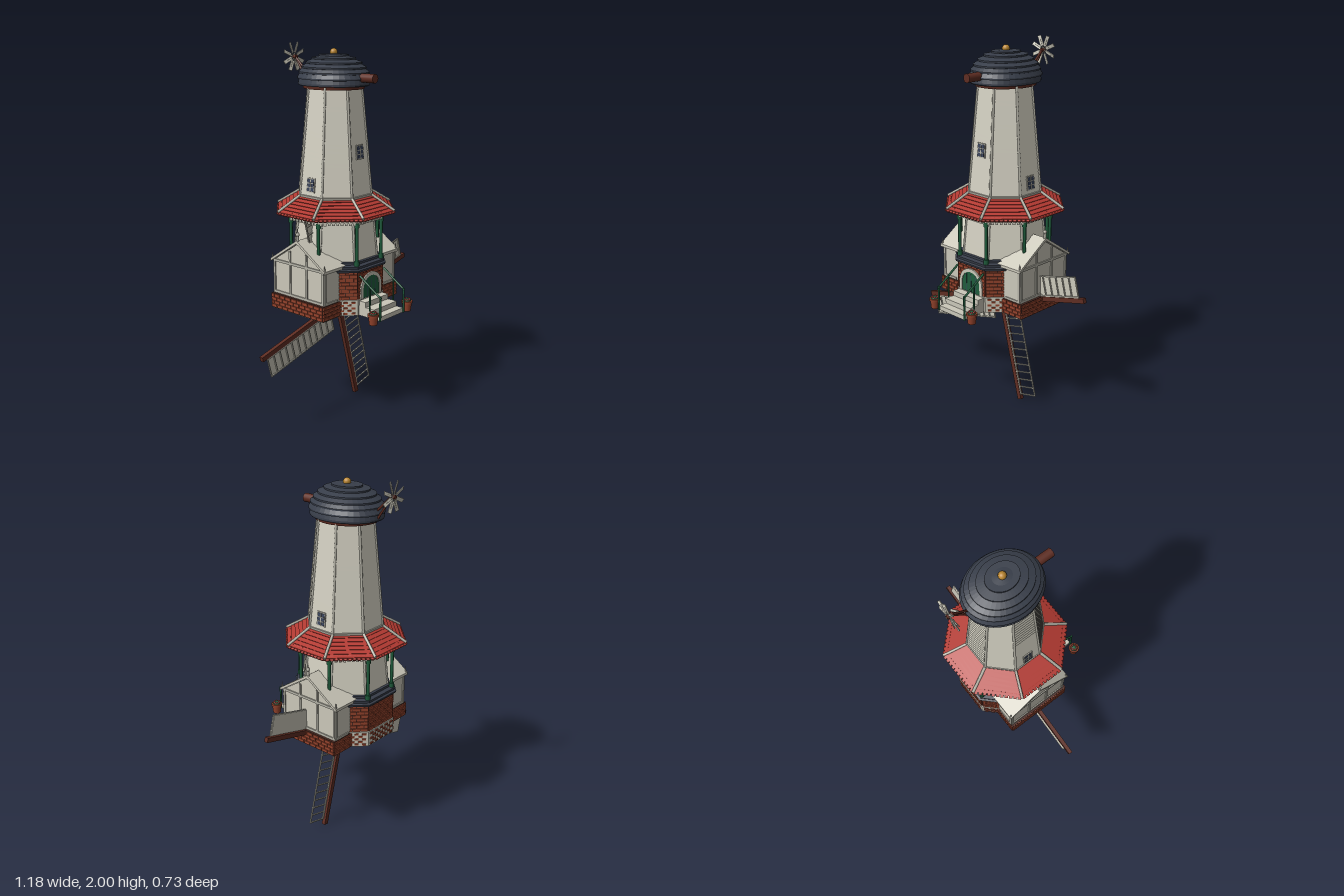
import * as THREE from 'three';
import { mergeGeometries } from 'three/addons/utils/BufferGeometryUtils.js';

const mat = (name, color) => Object.assign(new THREE.MeshStandardMaterial({ color }), { name });
const V = (x, y, z) => new THREE.Vector3(x, y, z);
const C8 = Math.cos(Math.PI / 8), T8 = Math.tan(Math.PI / 8);

export function createModel() {
  const M = {
    pale: mat('pale boards', 0xcbc8ba), trim: mat('grey trim', 0xb4b2a6), brick: mat('brick', 0x94432c),
    mortar: mat('dark mortar', 0x4a2a22), wood: mat('brown timber', 0x5f2d22), red: mat('red shingles', 0xb33a32),
    slate: mat('slate', 0x383e4a), green: mat('green paint', 0x1f5c3c), gold: mat('gold', 0xba862f),
    glass: mat('dark glass', 0x39435a),
  };
  const root = new THREE.Group();
  const mill = new THREE.Group();
  mill.name = 'mill';
  mill.position.z = -0.055;
  root.add(mill);

  // ---- helpers ----
  const add = (parent, name, geo, m) => {
    const mesh = new THREE.Mesh(geo, m);
    mesh.name = name;
    parent.add(mesh);
    return mesh;
  };
  const group = (parent, name) => {
    const g = new THREE.Group();
    g.name = name;
    parent.add(g);
    return g;
  };
  const box = (w, h, d, x = 0, y = 0, z = 0) => new THREE.BoxGeometry(w, h, d).translate(x, y, z);
  const flat = (geo) => {
    const g = geo.index ? geo.toNonIndexed() : geo;
    g.computeVertexNormals();
    return g;
  };
  // octagonal solid given by a profile of [apothem, y], flat side to the front
  const octagon = (pts) => flat(new THREE.LatheGeometry(
    pts.map(([r, y]) => new THREE.Vector2(r / C8, y)), 8).rotateY(Math.PI / 8));
  // octagon corner i at apothem r
  const corner = (i, r, y) => {
    const a = Math.PI / 8 + i * Math.PI / 4;
    return V(Math.sin(a) * r / C8, y, Math.cos(a) * r / C8);
  };
  const rod = (a, b, r, sides = 6) => {
    const d = b.clone().sub(a), g = new THREE.CylinderGeometry(r, r, d.length(), sides);
    g.applyQuaternion(new THREE.Quaternion().setFromUnitVectors(V(0, 1, 0), d.clone().normalize()));
    return g.translate(...a.clone().add(b).multiplyScalar(0.5).toArray());
  };
  const around = (make) => mergeGeometries([...Array(8).keys()].map((i) => make(i)));
  // courses of staggered brick plates in the xy plane
  const bricks = (w, y0, y1, rows, gap, skip = () => false) => {
    const list = [], h = (y1 - y0) / rows, n = Math.max(2, Math.round(w / 0.042)), bw = w / n;
    for (let r = 0; r < rows; r++) {
      for (let k = 0; k <= n; k++) {
        const a = Math.max(-w / 2, -w / 2 + (k - (r % 2) / 2) * bw);
        const b = Math.min(w / 2, -w / 2 + (k + 1 - (r % 2) / 2) * bw);
        const y = y0 + (r + 0.5) * h;
        if (b - a < gap * 2 || skip((a + b) / 2, y)) continue;
        list.push(box(b - a - gap, h - Math.min(gap, 0.006), 0.006, (a + b) / 2, y, 0.002));
      }
    }
    return mergeGeometries(list);
  };

  // ---- octagonal brick base ----
  add(mill, 'plinth', octagon([[0, 0.6], [0.255, 0.6], [0.255, 0.685], [0.24, 0.69]]), M.pale);
  add(mill, 'plinth checker bricks', around((i) =>
    bricks(0.205, 0.605, 0.68, 5, 0.02).translate(0, 0, 0.255).rotateY(i * Math.PI / 4)), M.brick);
  add(mill, 'base wall', octagon([[0.248, 0.68], [0.248, 0.85]]), M.mortar);
  add(mill, 'base wall bricks', around((i) =>
    bricks(0.203, 0.685, 0.845, 8, 0.004).translate(0, 0, 0.248).rotateY(i * Math.PI / 4)), M.brick);
  add(mill, 'slate ledge', octagon([[0.24, 0.838], [0.262, 0.838], [0.266, 0.85], [0.255, 0.855],
    [0.257, 0.868], [0.235, 0.873], [0.235, 0.885], [0.2, 0.89]]), M.slate);
  add(mill, 'underside', octagon([[0, 0.597], [0.19, 0.597], [0.19, 0.602]]), M.glass);

  // ---- weatherboarded tower ----
  const towerR = (y) => 0.22 - (y - 0.88) * 0.0922;
  const boards = [], courses = 38;
  for (let i = 0; i < courses; i++) {
    const y0 = 0.88 + i * 0.9 / courses, y1 = y0 + 0.9 / courses;
    boards.push([towerR(y0) + 0.003, y0], [towerR(y1), y1]);
  }
  add(mill, 'tower boards', octagon(boards), M.pale);
  add(mill, 'tower corner trim', around((i) =>
    rod(corner(i, towerR(0.88), 0.88), corner(i, towerR(1.78), 1.78), 0.007)), M.trim);
  [[0, 1.45], [2, 1.28], [6, 1.28]].forEach(([i, y]) => {
    const face = group(mill, 'window face');
    face.rotation.y = i * Math.PI / 4;
    const win = group(face, 'window');
    win.position.set(0, y, towerR(y) + 0.003);
    win.rotation.x = -0.092;
    add(win, 'window frame', box(0.056, 0.076, 0.008), M.trim);
    add(win, 'window glass', box(0.044, 0.064, 0.009, 0, 0, 0.001), M.glass);
    add(win, 'window bars', mergeGeometries([box(0.005, 0.064, 0.009, 0, 0, 0.003),
      box(0.044, 0.004, 0.009, 0, 0.011, 0.003), box(0.044, 0.004, 0.009, 0, -0.011, 0.003)]), M.trim);
  });

  // ---- gallery roof on green posts ----
  const roof = [[0.185, 1.19], [0.3, 1.122]];
  for (let i = 0; i < 6; i++) {
    const a = i / 6, b = (i + 1) / 6;
    roof.push([0.306 - 0.12 * a, 1.138 + 0.08 * a], [0.302 - 0.12 * b, 1.134 + 0.08 * b]);
  }
  add(mill, 'gallery roof', octagon(roof), M.red);
  add(mill, 'eave shingles', around((i) => mergeGeometries([...Array(11).keys()].map((k) =>
    box(0.017, 0.007, 0.03).rotateX(0.59).translate((k - 5) * 0.0225, 1.134, 0.3)))
    .rotateY(i * Math.PI / 4)), M.red);
  add(mill, 'roof hips', around((i) =>
    rod(corner(i, 0.308, 1.138), corner(i, 0.185, 1.22), 0.008)), M.trim);
  add(mill, 'roof collar', octagon([[0.192, 1.205], [0.195, 1.222], [0.18, 1.226]]), M.trim);
  add(mill, 'gallery beam', octagon([[0.236, 1.135], [0.236, 1.1], [0.25, 1.1], [0.25, 1.14]]), M.pale);
  add(mill, 'beam fringe', around((i) => mergeGeometries([...Array(9).keys()].map((k) =>
    box(0.014, 0.012, 0.006, (k - 4) * 0.022, 1.095, 0.247))).rotateY(i * Math.PI / 4)), M.pale);
  add(mill, 'gallery posts', around((i) => mergeGeometries([
    rod(corner(i, 0.24, 0.865), corner(i, 0.24, 1.12), 0.009, 8),
    rod(corner(i, 0.24, 0.865), corner(i, 0.24, 0.895), 0.014, 8),
    rod(corner(i, 0.24, 1.075), corner(i, 0.24, 1.1), 0.013, 8)])), M.green);

  // ---- gabled side wings ----
  const gable = (hw, y0, ye, yp) => new THREE.Shape([[-hw, y0], [hw, y0], [hw, ye], [0, yp], [-hw, ye]]
    .map(([x, y]) => new THREE.Vector2(x, y)));
  const extrudeX = (shape, x0, x1) => new THREE.ExtrudeGeometry(shape, { depth: x1 - x0, bevelEnabled: false })
    .rotateY(Math.PI / 2).translate(x0, 0, 0);
  [0, Math.PI].forEach((turn) => {
    const wing = group(mill, 'side wing');
    wing.rotation.y = turn;
    add(wing, 'wing walls', extrudeX(gable(0.183, 0.68, 0.865, 0.985), 0.14, 0.288), M.pale);
    const slope = new THREE.Shape([[-0.198, 0.857], [0, 0.988], [0.198, 0.857], [0.198, 0.872], [0, 1.004], [-0.198, 0.872]]
      .map(([x, y]) => new THREE.Vector2(x, y)));
    add(wing, 'wing roof', extrudeX(slope, 0.14, 0.302), M.pale);
    const battens = [box(0.008, 0.014, 0.366, 0.29, 0.865, 0), box(0.008, 0.014, 0.366, 0.29, 0.69, 0)];
    [-0.176, -0.06, 0.06, 0.176].forEach((z) => battens.push(box(0.008, 0.18, 0.012, 0.29, 0.775, z)));
    [-0.06, 0.06].forEach((z) => battens.push(box(0.008, 0.07, 0.012, 0.29, 0.9, z)));
    [-1, 1].forEach((s) => battens.push(box(0.014, 0.18, 0.008, 0.282, 0.775, s * 0.184),
      box(0.1, 0.012, 0.008, 0.24, 0.69, s * 0.184)));
    add(wing, 'wing battens', mergeGeometries(battens), M.trim);
    add(wing, 'gable finial', mergeGeometries([rod(V(0.292, 0.98, 0), V(0.292, 1.03, 0), 0.008),
      new THREE.SphereGeometry(0.011, 10, 8).translate(0.292, 1.035, 0),
      new THREE.ConeGeometry(0.006, 0.035, 8).translate(0.292, 1.055, 0)]), M.trim);
    add(wing, 'eave finials', mergeGeometries([-1, 1].map((s) =>
      new THREE.ConeGeometry(0.006, 0.04, 6).translate(0.292, 0.89, s * 0.19))), M.trim);
    add(wing, 'wing plinth', box(0.165, 0.082, 0.376, 0.2225, 0.641, 0), M.mortar);
    add(wing, 'wing plinth floor', box(0.16, 0.006, 0.37, 0.22, 0.599, 0), M.pale);
    add(wing, 'wing plinth bricks', mergeGeometries([
      bricks(0.376, 0.602, 0.68, 4, 0.004).rotateY(Math.PI / 2).translate(0.305, 0, 0),
      bricks(0.165, 0.602, 0.68, 4, 0.004).translate(0.2225, 0, 0.188),
      bricks(0.165, 0.602, 0.68, 4, 0.004).rotateY(Math.PI).translate(0.2225, 0, -0.188)]), M.brick);
  });

  // ---- domed cap ----
  const cap = group(mill, 'cap');
  cap.position.z = -0.008;
  const steps = [[0.168, 1.79], [0.172, 1.818], [0.165, 1.846], [0.152, 1.872], [0.132, 1.896], [0.104, 1.918], [0.07, 1.934]];
  const dome = [[0, 1.785], [0.165, 1.785]];
  steps.forEach(([r, y], i) => {
    const next = steps[i + 1] || [0.045, 1.943];
    dome.push([r, y], [r, y + 0.008], [Math.min(r, next[0]) - 0.004, next[1] - 0.001]);
  });
  dome.push([0, 1.948]);
  const domeGeo = new THREE.LatheGeometry(dome.map(([r, y]) => new THREE.Vector2(r, y)), 40).scale(1, 1, 1.2);
  add(cap, 'slate dome', flat(domeGeo), M.slate);
  add(cap, 'curb ring', new THREE.CylinderGeometry(0.155, 0.15, 0.024, 32).scale(1, 1, 1.12).translate(0, 1.781, 0), M.wood);
  add(cap, 'gold ball', new THREE.SphereGeometry(0.02, 18, 12).translate(0, 1.952, 0), M.gold);
  add(root, 'windshaft', rod(V(0, 1.83, 0.05), V(0, 1.83, 0.217), 0.023, 16), M.wood);

  // ---- fantail ----
  const fan = group(root, 'fantail');
  fan.position.set(0, 1.92, -0.352);
  add(fan, 'fan blades', around((i) => box(0.02, 0.058, 0.004).rotateY(0.4).translate(0, 0.05, 0)
    .rotateZ((i + 0.5) * Math.PI / 4)), M.pale);
  add(fan, 'fan spokes', around((i) => box(0.005, 0.06, 0.005, 0, 0.03, 0).rotateZ((i + 0.5) * Math.PI / 4)), M.trim);
  add(fan, 'fan hub', rod(V(0, 0, -0.012), V(0, 0, 0.02), 0.01, 10), M.wood);
  add(root, 'fantail beams', mergeGeometries([rod(V(0, 1.78, -0.245), V(0, 1.925, -0.345), 0.006),
    rod(V(0, 1.82, -0.235), V(0, 1.925, -0.345), 0.006)]), M.wood);

  // ---- front door, steps, railings and pots ----
  const arch = (r, y0, y1) => {
    const s = new THREE.Shape();
    s.moveTo(-r, y0); s.lineTo(r, y0); s.lineTo(r, y1);
    s.absarc(0, y1, r, 0, Math.PI, false);
    return s;
  };
  const thin = { depth: 0.009, bevelEnabled: false, curveSegments: 16 };
  const surround = arch(0.085, 0.685, 0.735);
  surround.holes.push(arch(0.066, 0.685, 0.735));
  add(root, 'door surround', new THREE.ExtrudeGeometry(surround, thin).translate(0, 0, 0.196), M.pale);
  add(root, 'door', new THREE.ExtrudeGeometry(arch(0.067, 0.685, 0.735), thin).translate(0, 0, 0.192), M.green);
  add(root, 'door grooves', mergeGeometries([-0.033, 0, 0.033].map((x) => box(0.003, 0.1, 0.003, x, 0.737, 0.2015))), M.glass);
  add(root, 'front steps', mergeGeometries([[0.68, 0.243], [0.652, 0.3], [0.625, 0.345]].map(([y, z]) =>
    box(0.19, y - 0.6, z - 0.18, 0, (y + 0.6) / 2, (z + 0.18) / 2))), M.pale);
  [-1, 1].forEach((s) => {
    const x = s * 0.098;
    add(root, 'stair railing', mergeGeometries([rod(V(x, 0.6, 0.345), V(x, 0.735, 0.345), 0.006),
      rod(V(x, 0.64, 0.275), V(x, 0.78, 0.275), 0.005), rod(V(x, 0.725, 0.35), V(x, 0.82, 0.205), 0.006)]), M.green);
    const pot = group(root, 'flower pot');
    pot.position.set(s * 0.142, 0.595, 0.335);
    add(pot, 'pot', new THREE.CylinderGeometry(0.027, 0.021, 0.05, 16).translate(0, 0.025, 0), M.brick);
    add(pot, 'pot rim', new THREE.CylinderGeometry(0.03, 0.03, 0.012, 16).translate(0, 0.05, 0), M.brick);
    add(pot, 'plant', new THREE.SphereGeometry(0.022, 10, 8).scale(1, 0.5, 1).translate(0, 0.057, 0), M.green);
    add(pot, 'flowers', around((i) => new THREE.SphereGeometry(0.006, 6, 4).translate(0.015, 0.064, 0)
      .rotateY(i * Math.PI / 4)), M.red);
  });

  // ---- four sails on a low hub ----
  const sails = group(root, 'sails');
  sails.position.set(0, 0.589, -0.035);
  add(sails, 'sail hub', rod(V(0, -0.005, -0.04), V(0, -0.005, 0.02), 0.028, 12), M.wood);
  for (let k = 0; k < 4; k++) {
    const sail = group(sails, 'sail');
    sail.rotation.z = 0.253 + k * Math.PI / 2;
    add(sail, 'sail stock', box(0.605, 0.026, 0.022, 0.3025, 0, 0), M.wood);
    const lattice = [box(0.5, 0.008, 0.007, 0.325, 0.018, 0.006), box(0.5, 0.007, 0.007, 0.325, 0.125, 0.006)];
    for (let i = 0; i < 12; i++) lattice.push(box(0.006, 0.11, 0.007, 0.078 + i * 0.0449, 0.07, 0.006));
    add(sail, 'sail lattice', mergeGeometries(lattice), M.trim);
    if (k !== 3) add(sail, 'sail boards', box(0.494, 0.108, 0.004, 0.325, 0.071, 0.001), M.pale);
  }
  return root;
}
